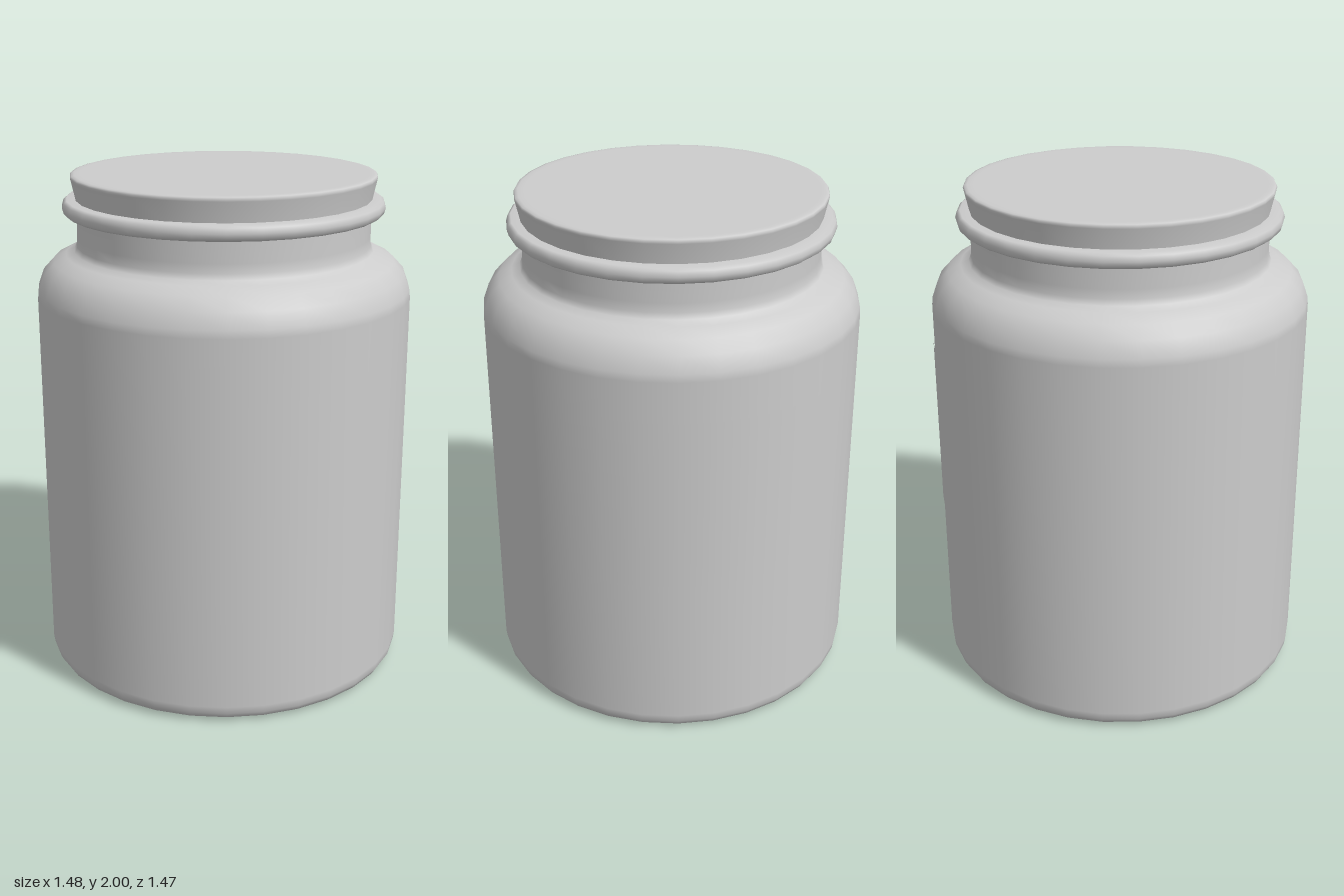
import * as THREE from 'three';

const SEGMENTS = 32;

// Surface of revolution from [radius, height] pairs, listed bottom to top
function turned(name, points, material) {
  const profile = points.map(([r, y]) => new THREE.Vector2(r, y));
  const mesh = new THREE.Mesh(new THREE.LatheGeometry(profile, SEGMENTS), material);
  mesh.name = name;
  return mesh;
}

export function createModel() {
  const jarGrey = new THREE.MeshStandardMaterial({ color: 0xcccccc });
  jarGrey.name = 'pale grey';

  const model = new THREE.Group();
  model.name = 'jar';

  // Base, straight wall, rounded shoulder and neck
  model.add(turned('jarBody', [
    [0, 0], [0.66, 0], [0.695, 0.005], [0.72, 0.018], [0.733, 0.04], [0.737, 0.07],
    [0.737, 1.53], [0.734, 1.56], [0.712, 1.62], [0.67, 1.665], [0.62, 1.69],
    [0.588, 1.703], [0.578, 1.725], [0.576, 1.76], [0.576, 1.87],
  ], jarGrey));

  // Rounded bead around the mouth
  model.add(turned('mouthRim', [
    [0.56, 1.845], [0.612, 1.846], [0.624, 1.855], [0.63, 1.875],
    [0.624, 1.895], [0.612, 1.904], [0.56, 1.905],
  ], jarGrey));

  // Tapered stopper, wider at the top
  model.add(turned('stopper', [
    [0.572, 1.86], [0.577, 1.905], [0.594, 1.982], [0.596, 1.99],
    [0.592, 1.997], [0.58, 2], [0.56, 2], [0, 2],
  ], jarGrey));

  // Thin curved label on the left side, following seven wall facets
  const step = (Math.PI * 2) / SEGMENTS;
  const label = new THREE.Mesh(
    new THREE.CylinderGeometry(0.741, 0.741, 0.685, 7, 1, true, step * 5, step * 7),
    jarGrey,
  );
  label.name = 'label';
  label.position.y = 1.028;
  model.add(label);

  return model;
}
